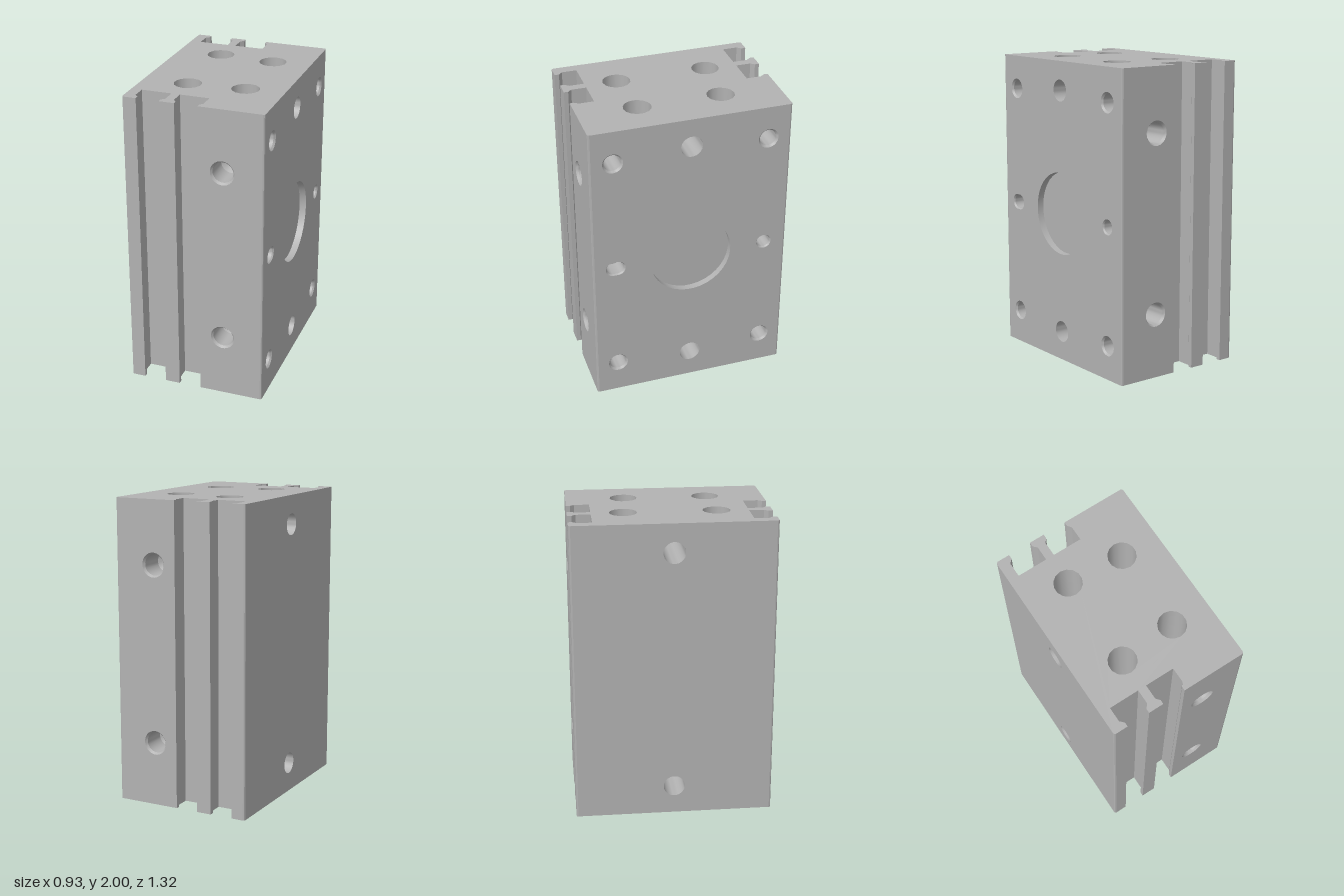
import * as THREE from 'three';
import { toCreasedNormals } from 'three/addons/utils/BufferGeometryUtils.js';

const HEIGHT = 2;
const HALF_W = 0.46;

// Outline of a round hole; "stretch" widens it into a slot.
function outline(r, stretch = 0, sides = 24) {
  return Array.from({ length: sides }, (_, i) => {
    const a = ((i + 0.5) / sides) * Math.PI * 2;
    return new THREE.Vector2(Math.cos(a) * r + Math.sign(Math.cos(a)) * stretch, Math.sin(a) * r);
  });
}

// Inward-facing wall of a hole, lofted through [radius, depth] steps.
function boreGeometry({ steps, stretch, sides = 24 }) {
  const positions = [];
  const index = [];
  steps.forEach(([r, depth], k) => {
    outline(r, stretch, sides).forEach((p) => positions.push(p.x, p.y, -depth));
    if (k === 0) return;
    for (let i = 0; i < sides; i++) {
      const j = (i + 1) % sides;
      const a = (k - 1) * sides + i, b = (k - 1) * sides + j;
      const c = k * sides + i, d = k * sides + j;
      index.push(a, b, c, b, d, c);
    }
  });
  const geometry = new THREE.BufferGeometry();
  geometry.setAttribute('position', new THREE.Float32BufferAttribute(positions, 3));
  geometry.setIndex(index);
  return toCreasedNormals(geometry, 0.6);
}

// Flat panel with holes, plus the bores behind it, facing +z in its own frame.
function panel(name, points, bores, material) {
  const group = new THREE.Group();
  group.name = name;
  const shape = new THREE.Shape(points);
  bores.forEach((b) => {
    const rim = outline(b.steps[0][0], b.stretch, b.sides);
    shape.holes.push(new THREE.Path(rim.map((p) => p.add(new THREE.Vector2(b.u, b.v)))));
    if (b.steps.length < 2) return;
    const bore = new THREE.Mesh(boreGeometry(b), material);
    bore.name = b.name;
    bore.position.set(b.u, b.v, 0);
    group.add(bore);
  });
  const face = new THREE.Mesh(new THREE.ShapeGeometry(shape), material);
  face.name = name + 'Face';
  group.add(face);
  return group;
}

export function createModel() {
  const metal = new THREE.MeshStandardMaterial({ color: 0xb2b2b2 });
  metal.name = 'grey metal';

  // Front half of the extruded section as [x, z], with two T-slots.
  const half = [
    [-HALF_W, 0.643], [-0.4565, 0.6515], [-0.448, 0.655],
    [-0.367, 0.655], [-0.367, 0.626], [-0.391, 0.601], [-0.391, 0.505],
    [-0.194, 0.505], [-0.194, 0.601], [-0.217, 0.626], [-0.217, 0.655],
    [-0.117, 0.655], [-0.117, 0.627], [-0.138, 0.602], [-0.138, 0.505],
    [0.054, 0.505], [0.054, 0.603], [0.034, 0.628], [0.034, 0.655],
    [0.448, 0.655], [0.4565, 0.6515], [HALF_W, 0.643],
  ];
  const section = [...half, ...half.map(([x, z]) => [x, -z]).reverse()];
  const n = half.length;
  const frontWall = n - 4, rightWall = n - 1, backWall = n + 2, leftWall = 2 * n - 1;

  // Threaded ports in the front and back
  const portSteps = [[0.08, 0], [0.068, 0.015], [0.068, 0.17], [0.001, 0.205]];
  const ports = (u) => [0.42, 1.585].map((v) => ({ name: 'port', u, v, steps: portSteps }));

  // Through holes, mounting holes, dowel holes and the round recess in the side
  const throughHoles = (steps) => [0.195, 1.81].map((v) => ({ name: 'throughHole', u: 0, v, steps }));
  const mountSteps = [[0.066, 0], [0.055, 0.012], [0.055, 0.2], [0.001, 0.23]];
  const sideBores = [
    ...throughHoles([[0.071, 0], [0.071, 2 * HALF_W]]),
    { name: 'roundRecess', u: 0, v: 1, sides: 36, steps: [[0.273, 0], [0.273, 0.045], [0.001, 0.045]] },
    { name: 'dowelSlot', u: -0.505, v: 1, stretch: 0.014, steps: [[0.052, 0], [0.045, 0.01], [0.045, 0.12], [0.001, 0.12]] },
    { name: 'dowelHole', u: 0.505, v: 1, steps: [[0.051, 0], [0.044, 0.01], [0.044, 0.12], [0.001, 0.12]] },
  ];
  for (const u of [-0.505, 0.505]) {
    for (const v of [0.225, 1.78]) sideBores.push({ name: 'mountingHole', u, v, steps: mountSteps });
  }

  const wallBores = {
    [frontWall]: ports(-0.051),
    [rightWall]: sideBores,
    [backWall]: ports(0.051),
    [leftWall]: throughHoles([[0.071, 0]]),
  };
  const wallNames = {
    [frontWall]: 'frontWall', [rightWall]: 'portSideWall', [backWall]: 'backWall', [leftWall]: 'plainSideWall',
  };

  const body = new THREE.Group();
  body.name = 'body';

  // Side walls, one panel per edge of the section
  section.forEach(([ax, az], i) => {
    const [bx, bz] = section[(i + 1) % section.length];
    const h = Math.hypot(bx - ax, bz - az) / 2;
    const corners = [[-h, 0], [h, 0], [h, HEIGHT], [-h, HEIGHT]].map((p) => new THREE.Vector2(...p));
    const wall = panel(wallNames[i] || 'grooveWall', corners, wallBores[i] || [], metal);
    wall.position.set((ax + bx) / 2, 0, (az + bz) / 2);
    wall.rotation.y = Math.atan2(az - bz, bx - ax);
    body.add(wall);
  });

  // End caps; the cylinder bores run the full height from the top
  const caps = section.map(([x, z]) => new THREE.Vector2(x, z));
  const cylinders = (steps) => [[-0.167, 0.299], [0.206, 0.272]].flatMap(([u, v]) =>
    [v, -v].map((w) => ({ name: 'cylinderBore', u, v: w, sides: 14, steps })));
  const top = panel('topCap', caps, cylinders([[0.09, 0], [0.09, HEIGHT]]), metal);
  top.rotation.x = -Math.PI / 2;
  top.position.y = HEIGHT;
  const bottom = panel('bottomCap', caps, cylinders([[0.09, 0]]), metal);
  bottom.rotation.x = Math.PI / 2;
  body.add(top, bottom);

  // The block sits turned very slightly
  body.rotation.y = -0.01;
  const model = new THREE.Group();
  model.name = 'cylinderBlock';
  model.add(body);
  return model;
}
